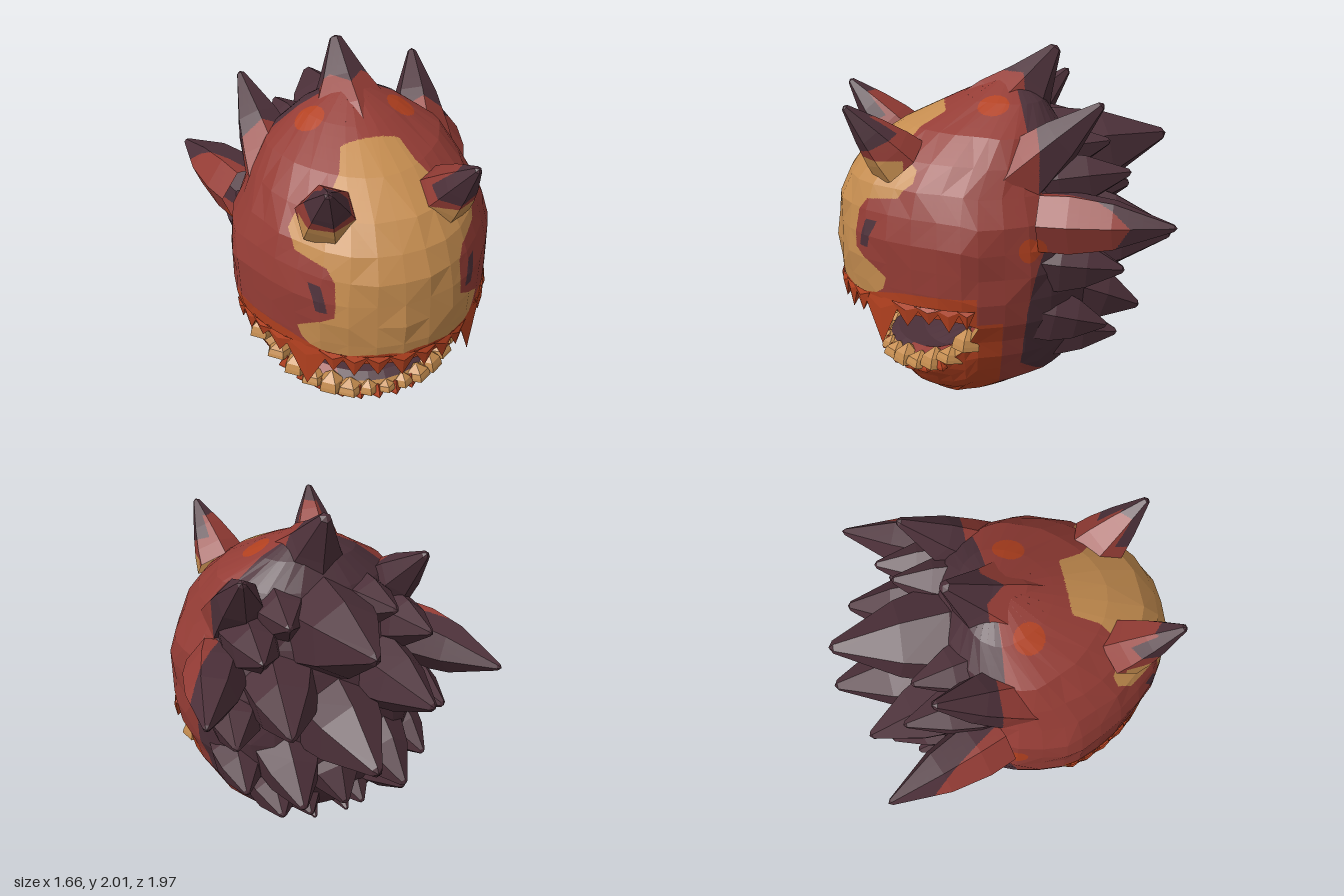
import * as THREE from 'three';

const mat = (name, color) => {
  const m = new THREE.MeshStandardMaterial({ color, side: THREE.DoubleSide, flatShading: true });
  m.name = name;
  return m;
};
const V = (x, y, z) => new THREE.Vector3(x, y, z);
const RED = 0, DARK = 1, TAN = 2, ORANGE = 3;

// piecewise linear lookup in [key, value] pairs
function look(tab, k) {
  if (k <= tab[0][0]) return tab[0][1];
  for (let i = 1; i < tab.length; i++) {
    const [a, va] = tab[i - 1], [b, vb] = tab[i];
    if (k <= b) return va + (vb - va) * (k - a) / (b - a);
  }
  return tab[tab.length - 1][1];
}

// head profile by height: half width, front z, middle z, back z
const WIDTH = [[0, 0.1], [0.02, 0.19], [0.1, 0.38], [0.2, 0.49], [0.3, 0.56], [0.45, 0.63], [0.6, 0.69], [0.74, 0.73], [1.1, 0.73], [1.25, 0.68], [1.4, 0.61], [1.6, 0.48], [1.75, 0.25], [1.87, 0]];
const FRONT = [[0, 0.46], [0.1, 0.6], [0.28, 0.75], [0.5, 0.85], [0.7, 0.96], [0.9, 0.98], [1.1, 0.97], [1.2, 0.96], [1.28, 0.93], [1.4, 0.87], [1.48, 0.79], [1.6, 0.6], [1.75, 0.27], [1.87, -0.01]];
const MIDDLE = [[0, 0.37], [0.2, 0.24], [1.3, 0.24], [1.45, 0.18], [1.6, 0.1], [1.75, 0], [1.87, -0.02]];
const BACK = [[0, 0.28], [0.1, 0], [0.2, -0.3], [0.4, -0.42], [0.7, -0.48], [1.1, -0.47], [1.4, -0.38], [1.6, -0.28], [1.75, -0.18], [1.87, -0.03]];
const skin = (t, y, k = 1) => {
  const mid = look(MIDDLE, y), c = Math.cos(t), s = Math.sin(t);
  const across = c > 0 ? s : Math.sign(s) * Math.abs(s) ** 0.75;
  const along = c > 0 ? (look(FRONT, y) - mid) * c ** 1.3 : (mid - look(BACK, y)) * c;
  return V(k * look(WIDTH, y) * across, y, mid + k * along);
};

// mouth lips by angle round the head, meeting at the sides
const lipShare = t => Math.min(1, Math.abs(t) / (Math.PI / 2));
const upperLip = t => 0.69 - 0.05 * lipShare(t) ** 8;
const lowerLip = t => 0.27 + 0.37 * lipShare(t) ** 4.2;

// colour zones
const DARK_EDGE = [[0, -0.5], [0.15, -0.32], [0.25, -0.12], [0.35, 0], [0.7, -0.02], [0.9, -0.06], [1.1, -0.13], [1.4, -0.1], [1.6, -0.05], [1.87, -0.02]];
const MASK = [[0.74, 0.42], [0.8, 0.48], [0.87, 0.5], [0.95, 0.42], [1, 0.34], [1.2, 0.33], [1.27, 0.36], [1.3, 0.48], [1.38, 0.49], [1.44, 0.45], [1.55, 0.27], [1.62, 0.2], [1.68, 0.16], [1.72, 0.08]];
function headPaint(p) {
  const x = Math.abs(p.x), { y, z } = p;
  if (Math.hypot(x - 0.25, y - 1.72, z - 0.11) < 0.085 || Math.hypot(x - 0.71, y - 1.06, z + 0.04) < 0.07) return ORANGE;
  if (z < look(DARK_EDGE, y)) return DARK;
  if (z > 0.4 && Math.abs(y - 1.095) < 0.075 && Math.abs(x - 0.41 - (y - 1.095) * 0.15) < 0.025) return DARK;
  const lipTop = 0.75 + 0.07 * (x / 0.7) ** 3 + 0.015 * Math.sin(x * 14);
  if ((y < 0.66 && z > 0.11) || (y < lipTop && z > 0.25)) return ORANGE;
  if (z > 0.36 && y < 1.72 && x < look(MASK, y)) return TAN;
  return RED;
}

// cut flat triangles along the colour borders and group them by colour
function painted(name, tris, paint, mats) {
  const buckets = mats.map(() => []);
  const mid = (a, b) => a.clone().add(b).multiplyScalar(0.5);
  const cut = (a, b, c, depth) => {
    const ab = mid(a, b), bc = mid(b, c), ca = mid(c, a);
    const centre = a.clone().add(b).add(c).divideScalar(3);
    const col = paint(centre);
    const same = [a, b, c, ab, bc, ca].every(p => paint(p) === col);
    if (depth >= 5 || (same && depth >= 2)) buckets[col].push(a, b, c);
    else for (const q of [[a, ab, ca], [ab, b, bc], [ca, bc, c], [ab, bc, ca]]) cut(...q, depth + 1);
  };
  for (const [a, b, c] of tris) {
    if (b.clone().sub(a).cross(c.clone().sub(a)).length() > 1e-6) cut(a, b, c, 0);
  }
  const g = new THREE.BufferGeometry().setFromPoints(buckets.flat());
  let start = 0;
  buckets.forEach((b, i) => { if (b.length) g.addGroup(start, b.length, i); start += b.length; });
  g.computeVertexNormals();
  const m = new THREE.Mesh(g, mats);
  m.name = name;
  return m;
}

// triangles between rows of points, with mirrored diagonals
function sheet(rows) {
  const tris = [];
  for (let j = 0; j + 1 < rows.length; j++) {
    const n = rows[j].length - 1;
    for (let i = 0; i < n; i++) {
      const a = rows[j][i], b = rows[j][i + 1], c = rows[j + 1][i + 1], d = rows[j + 1][i];
      if ((i < n / 2) === (j % 2 === 0)) tris.push([a, b, c], [a, c, d]);
      else tris.push([a, b, d], [b, c, d]);
    }
  }
  return tris;
}

// faceted spike from a base point to a tip; root is the radius share where it leaves the head
function spikeGeometry(base, tip, r, sides = 6, bulge = 0.72, root = 0.97) {
  const h = base.distanceTo(tip);
  const g = new THREE.LatheGeometry([[r, -0.1 * h], [r * root, h * 0.15], [r * bulge, h * 0.5], [r * 0.12, h * 0.97], [0, h]].map(p => new THREE.Vector2(...p)), sides).toNonIndexed();
  const q = new THREE.Quaternion().setFromUnitVectors(V(0, 1, 0), tip.clone().sub(base).normalize());
  g.applyQuaternion(q).translate(base.x, base.y, base.z);
  g.computeVertexNormals();
  return g;
}
function geometryTris(g) {
  const p = g.attributes.position, tris = [];
  const at = i => new THREE.Vector3().fromBufferAttribute(p, i);
  for (let i = 0; i < p.count; i += 3) tris.push([at(i), at(i + 1), at(i + 2)]);
  return tris;
}

// flat wedge tooth hanging flush with the upper lip
function wedgeTooth(t, half, top, drop) {
  const L = skin(t - half, top, 1.002), R = skin(t + half, top, 1.002);
  const M = skin(t, top - drop * 0.25, 1.02), B = skin(t, top - drop * 0.2, 0.88);
  const tip = skin(t, top, 0.99).setY(top - drop);
  const g = new THREE.BufferGeometry().setFromPoints([L, tip, M, M, tip, R, L, M, R, L, B, tip, B, R, tip]);
  g.computeVertexNormals();
  return g;
}

export function createModel() {
  const model = new THREE.Group();
  model.name = 'spikyHead';
  const mats = [mat('red', 0x943c35), mat('dark', 0x4c3039), mat('tan', 0xc48c4f), mat('orange', 0xb2401f)];
  const add = (name, g, m) => {
    const mesh = new THREE.Mesh(g, mats[m]);
    mesh.name = name;
    model.add(mesh);
  };

  // skull and jaw shells, slightly uneven so the facets show
  const COLS = 32;
  const angles = Array.from({ length: COLS + 1 }, (_, i) => (i / COLS * 2 - 1) * Math.PI);
  const uneven = (i, j) => {
    const s = Math.sin(Math.abs(i - COLS / 2) * 12.99 + j * 78.23) * 43758.5;
    return 1 + (s - Math.floor(s) - 0.5) * 0.03;
  };
  const shell = (from, to, n, lipRow) => Array.from({ length: n + 1 }, (_, j) =>
    angles.map((t, i) => skin(t, from(t) + (to(t) - from(t)) * j / n, j === lipRow ? 1 : uneven(i, j))));
  model.add(painted('skull', sheet(shell(upperLip, () => 1.87, 9, 0)), headPaint, mats));
  const jaw = [angles.map(() => V(0, 0, 0.37)), angles.map(t => skin(t, 0)), ...shell(() => 0.02, lowerLip, 6, 6)];
  model.add(painted('jaw', sheet(jaw), headPaint, mats));

  // mouth lining from lower lip over floor, throat and roof to upper lip
  const mouthAngles = angles.filter(t => Math.abs(t) <= Math.PI / 2 + 1e-6);
  const lining = (share, k, pull = 1) => mouthAngles.map(t => {
    const lo = lowerLip(t), hi = upperLip(t);
    const p = skin(t, share < 0.5 ? lo : hi, k);
    return V(p.x, lo + (hi - lo) * share, 0.22 + (p.z - 0.22) * pull);
  });
  const strip = (name, rows, paint) => model.add(painted(name, sheet(rows), paint, mats));
  const gumEdge = lining(0.13, 0.93), gumInner = lining(0.2, 0.84);
  strip('lowerToothBand', [lining(0, 1), gumEdge], () => TAN);
  strip('gum', [gumEdge, gumInner], p => (Math.abs(p.x) > 0.25 ? RED : DARK));
  strip('mouthLining', [gumInner, lining(0.2, 0.78, 0.7), lining(0.45, 0.75, 0.1), lining(0.86, 0.8, 0.7), lining(0.94, 0.92), lining(1, 1)],
    p => (Math.abs(p.x) > 0.56 ? RED : DARK));

  // upper teeth: broad points with two long fangs; [angle, half width, drop]
  const upper = [[0, 0.11, 0.15], [0.18, 0.1, 0.13], [0.35, 0.1, 0.145], [0.5, 0.1, 0.13], [0.7, 0.18, 0.28], [0.93, 0.12, 0.13], [1.1, 0.11, 0.1], [1.26, 0.11, 0.13], [1.42, 0.09, 0.11]];
  for (const [t, half, drop] of upper) {
    for (const s of t ? [1, -1] : [1]) add(drop > 0.2 ? 'fang' : 'upperTooth', wedgeTooth(t * s, half, 0.75, drop), ORANGE);
  }

  // lower teeth: chunky tan stubs behind small orange lip points
  for (let i = -7; i <= 7; i++) {
    const t = i * 0.2, big = Math.abs(i) > 1 ? 1 : 0.7;
    const root = skin(t, lowerLip(t), 0.955);
    const height = (i % 2 ? 0.1 : 0.075) * big;
    add('lowerTooth', spikeGeometry(root, V(root.x * 0.98, root.y + height, root.z - 0.01), 0.08 * big, 5, 0.85), TAN);
    if (Math.abs(i + 0.5) < 6) {
      const lip = skin(t + 0.1, lowerLip(t + 0.1) - 0.02, 0.98);
      add('lipPoint', spikeGeometry(lip, V(lip.x * 1.01, lip.y + 0.065, lip.z + 0.015), 0.05, 4, 0.6), ORANGE);
    }
  }

  // painted horns: [name, base, tip, radius, bulge, root share, colour rule]
  const frontHornPaint = p => {
    const behind = (p.y - 1.49) * 0.63 - (p.z - 0.65) * 0.77;
    if (behind > 0.03 && Math.abs(p.x) < 0.37 && p.y < 1.71) return RED;
    if (p.y + 0.5 * (p.z - 0.7) > 1.58) return DARK;
    return p.y < 1.49 && p.z > 0.6 ? TAN : RED;
  };
  const horns = [
    ['frontHorn', [0.31, 1.48, 0.64], [0.37, 1.77, 0.89], 0.165, 0.58, 0.86, frontHornPaint],
    ['earSpike', [0.42, 1.4, -0.02], [0.51, 1.78, -0.43], 0.2, 0.62, 0.86,
      p => (p.y > 1.69 || p.z < -0.09 ? DARK : RED)],
    ['sideHorn', [0.59, 1.18, -0.17], [0.82, 1.2, -0.76], 0.17, 0.8, 1.02,
      p => (Math.hypot(p.y - 1.06, p.z + 0.05) < 0.07 ? ORANGE
        : p.z < -0.12 - Math.max(0, Math.abs(p.x) - 0.55) * 1.4 ? DARK : RED)],
    ['crownSpike', [0, 1.62, 0.01], [0, 2, -0.27], 0.28, 0.5, 0.84,
      p => (p.y > 1.87 || p.z < -0.07 ? DARK : RED)],
  ];
  const sides = x => (x === 0 ? [1] : [1, -1]);
  for (const [name, b, t, r, bulge, root, paint] of horns) {
    for (const s of sides(t[0])) {
      const g = spikeGeometry(V(b[0] * s, b[1], b[2]), V(t[0] * s, t[1], t[2]), r, 6, bulge, root);
      model.add(painted(name, geometryTris(g), paint, mats));
    }
  }

  // dark mane: [base, tip, radius], mirrored when off centre
  const mane = [
    [[0, 1.36, -0.2], [0, 1.49, -0.91], 0.29], [[0, 0.9, -0.3], [0, 0.87, -0.98], 0.28],
    [[0.27, 1.1, -0.28], [0.4, 1.07, -0.81], 0.23], [[0.22, 1.45, -0.12], [0.3, 1.53, -0.52], 0.18],
    [[0.4, 1.33, -0.16], [0.47, 1.4, -0.6], 0.18], [[0.5, 0.93, -0.18], [0.61, 0.9, -0.55], 0.18],
    [[0.25, 0.68, -0.3], [0.3, 0.55, -0.72], 0.21], [[0.48, 0.62, -0.14], [0.54, 0.55, -0.48], 0.17],
    [[0, 0.6, -0.3], [0, 0.42, -0.6], 0.2], [[0.3, 0.45, -0.2], [0.37, 0.42, -0.58], 0.18],
    [[0.14, 0.38, -0.2], [0.16, 0.3, -0.48], 0.16], [[0.1, 0.28, -0.12], [0.1, 0.2, -0.4], 0.1],
  ];
  for (const [b, t, r] of mane) {
    for (const s of sides(t[0])) add('maneSpike', spikeGeometry(V(b[0] * s, b[1], b[2]), V(t[0] * s, t[1], t[2]), r), DARK);
  }
  return model;
}
